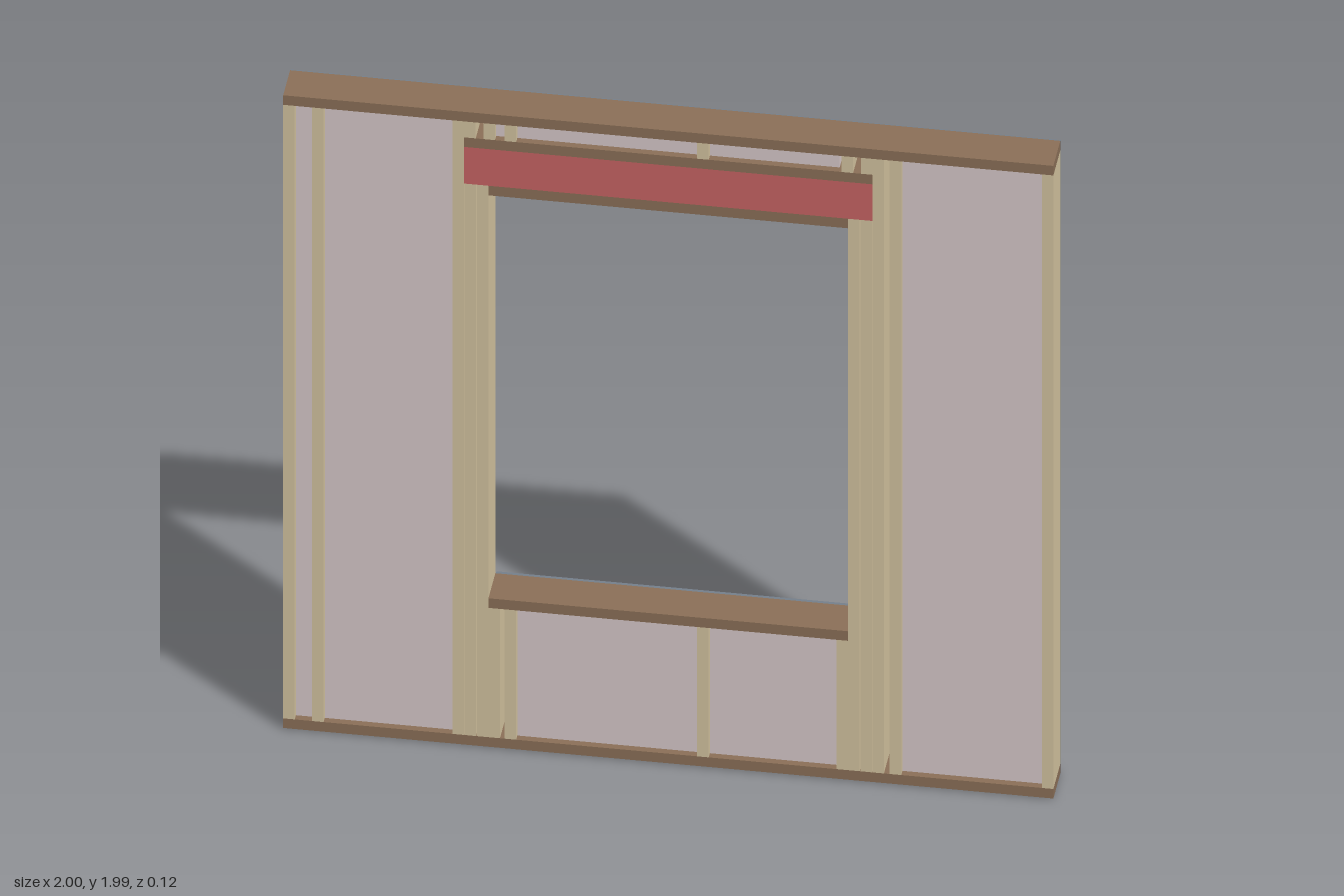
import * as THREE from 'three';

const mat = (color) => new THREE.MeshStandardMaterial({ color });

export function createModel() {
  const wall = new THREE.Group();
  wall.name = 'framedWallWithWindowOpening';

  const stud = mat(0xd4c4a0), plate = mat(0x8b7058), red = mat(0xc86464);
  const batt = mat(0xd8c9ca), board = mat(0x75808c);

  // Main levels and depths
  const T = 0.03, BACK = -0.061, MID = -0.052, FRONT = 0.061, FILL = 0.042;
  const BASE = 0.004, TOP = 1.99, LOW = BASE + T, HIGH = TOP - T;
  const OPEN = 0.467, SILL = 0.47, LINTEL = 1.735;
  const HEADER = LINTEL + T, HEADER_TOP = 1.88, CAP = HEADER_TOP + T;

  // Box given by its limits on each axis
  function box(name, material, x0, x1, y0, y1, z0 = MID, z1 = FRONT) {
    const mesh = new THREE.Mesh(new THREE.BoxGeometry(x1 - x0, y1 - y0, z1 - z0), material);
    mesh.position.set((x0 + x1) / 2, (y0 + y1) / 2, (z0 + z1) / 2);
    mesh.name = name;
    wall.add(mesh);
  }
  const upright = (name, x, y0, y1) => box(name, stud, x - T / 2, x + T / 2, y0, y1);

  // Horizontal plates
  box('bottomPlate', plate, -1, 1, BASE, LOW);
  box('topPlate', plate, -1, 1, HIGH, TOP);
  box('windowSill', plate, -OPEN, OPEN, SILL - T, SILL);
  box('headerBottomPlate', plate, -OPEN, OPEN, LINTEL, HEADER);
  box('headerTopPlate', plate, -0.53, 0.53, HEADER_TOP, CAP);
  box('header', red, -0.53, 0.53, HEADER, HEADER_TOP);

  // Mirrored uprights: ends, sides of the opening, short ones above and below
  for (const s of [-1, 1]) {
    upright('endStud', s * 0.985, LOW, HIGH);
    upright('kingStud', s * 0.545, LOW, HIGH);
    upright('outerJackStud', s * 0.514, LOW, HEADER);
    upright('innerJackStud', s * 0.482, LOW, HEADER);
    upright('sillEndCripple', s * 0.452, LOW, SILL - T);
    upright('headerEndCripple', s * 0.515, CAP, HIGH);
    upright('headerInnerCripple', s * 0.465, CAP, HIGH);
  }

  // Evenly spaced studs, cut short at the opening
  for (const x of [-0.91, 0.59]) upright('commonStud', x, LOW, HIGH);
  for (const x of [-0.41, 0.09]) {
    upright('sillCripple', x, LOW, SILL - T);
    upright('headerCripple', x, CAP, HIGH);
  }

  // Insulation in the bays between uprights
  const fill = (x0, x1, y0, y1) => box('insulation', batt, x0, x1, y0, y1, MID, FILL);
  for (const [x0, x1] of [[-0.97, -0.925], [-0.895, -0.56], [0.605, 0.97]]) fill(x0, x1, LOW, HIGH);
  for (const [x0, x1] of [[-0.395, 0.075], [0.105, 0.437]]) fill(x0, x1, LOW, SILL - T);
  for (const [x0, x1] of [[-0.45, -0.425], [-0.395, 0.075], [0.105, 0.442]]) fill(x0, x1, CAP, HIGH);

  // Sheathing boards on the back, with narrow seams beside the opening
  const seam = 0.003, boardTop = TOP - 0.004;
  const sheet = (name, x0, x1, y0, y1) => box(name, board, x0, x1, y0, y1, BACK, MID);
  sheet('rightSheathing', -1, -OPEN - seam / 2, 0, boardTop);
  sheet('leftSheathing', OPEN + seam / 2, 1, 0, boardTop);
  sheet('lowerSheathing', -OPEN + seam / 2, OPEN - seam / 2, 0, SILL);
  sheet('upperSheathing', -OPEN + seam / 2, OPEN - seam / 2, LINTEL, boardTop);

  return wall;
}
